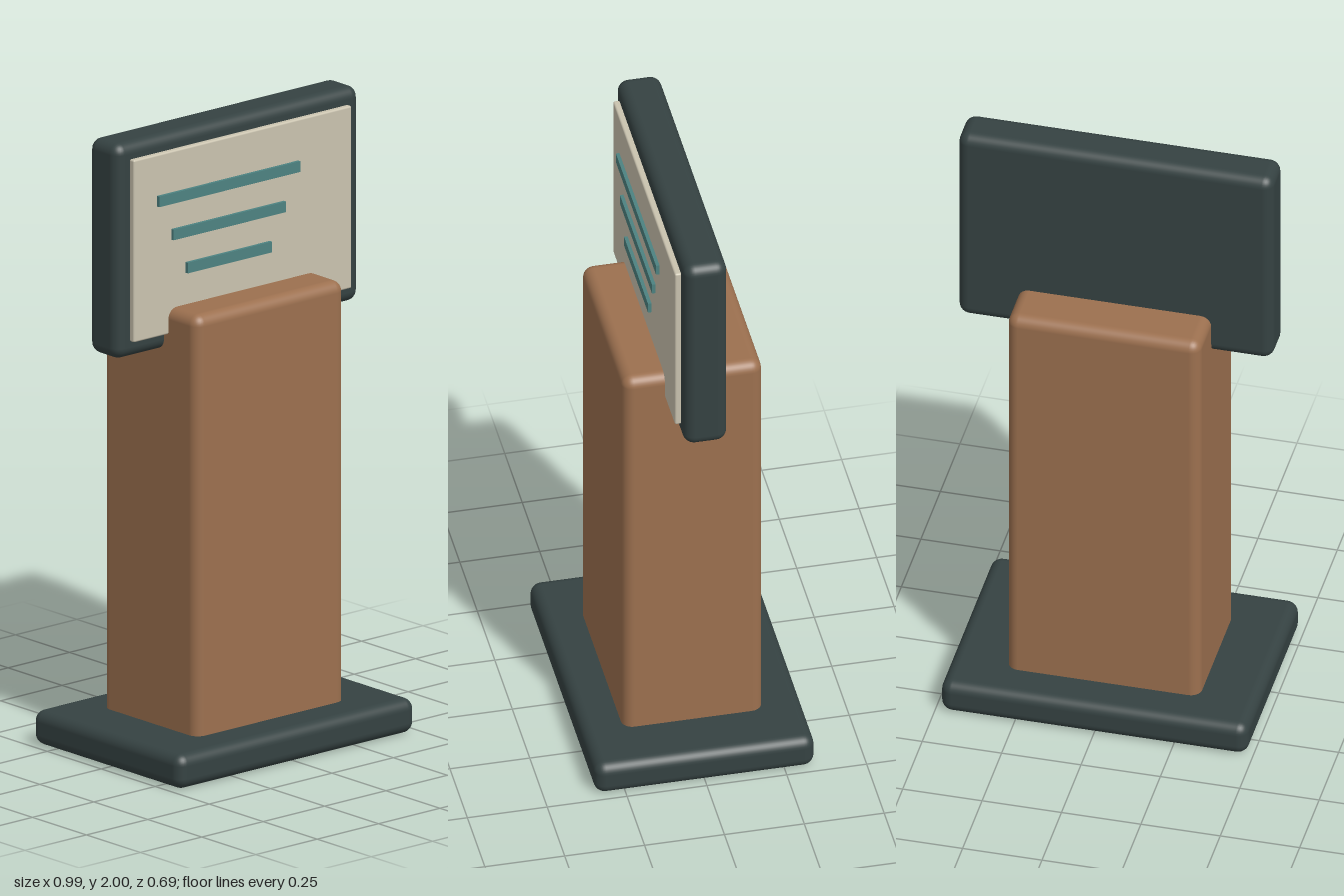
import * as THREE from 'three';
import { RoundedBoxGeometry } from 'three/addons/geometries/RoundedBoxGeometry.js';

export function createModel() {
  const group = new THREE.Group();
  const makeMaterial = (name, color) => {
    const m = new THREE.MeshStandardMaterial({ color });
    m.name = name;
    return m;
  };
  const slate = makeMaterial('dark slate', 0x354242);
  const wood = makeMaterial('warm wood', 0x9c704f);
  const cream = makeMaterial('cream', 0xcac3af);
  const teal = makeMaterial('teal', 0x4d8281);

  // Adds a rounded box given its extents on each axis
  const addBox = (name, material, [x0, x1], [y0, y1], [z0, z1], radius, segments = 4) => {
    const geometry = new RoundedBoxGeometry(x1 - x0, y1 - y0, z1 - z0, segments, radius);
    const mesh = new THREE.Mesh(geometry, material);
    mesh.name = name;
    mesh.position.set((x0 + x1) / 2, (y0 + y1) / 2, (z0 + z1) / 2);
    group.add(mesh);
  };

  // Foot plate, pedestal and sign board
  addBox('base', slate, [-0.483, 0.483], [0, 0.11], [-0.344, 0.344], 0.035);
  addBox('pedestal', wood, [-0.304, 0.304], [0.05, 1.45], [-0.219, 0.219], 0.035);
  addBox('signBoard', slate, [-0.496, 0.496], [1.314, 2], [-0.068, 0.068], 0.035);

  // Light face panel standing just proud of the board
  addBox('facePanel', cream, [-0.444, 0.444], [1.368, 1.95], [0.066, 0.088], 0.006, 2);

  // Raised bars, each shorter than the one above
  [[-0.35, 0.224, 1.802], [-0.292, 0.166, 1.685], [-0.234, 0.109, 1.568]].forEach(([x0, x1, y], i) => {
    const bar = new THREE.Mesh(new THREE.BoxGeometry(x1 - x0, 0.034, 0.014), teal);
    bar.name = `textBar${i + 1}`;
    bar.position.set((x0 + x1) / 2, y, 0.092);
    group.add(bar);
  });

  return group;
}
